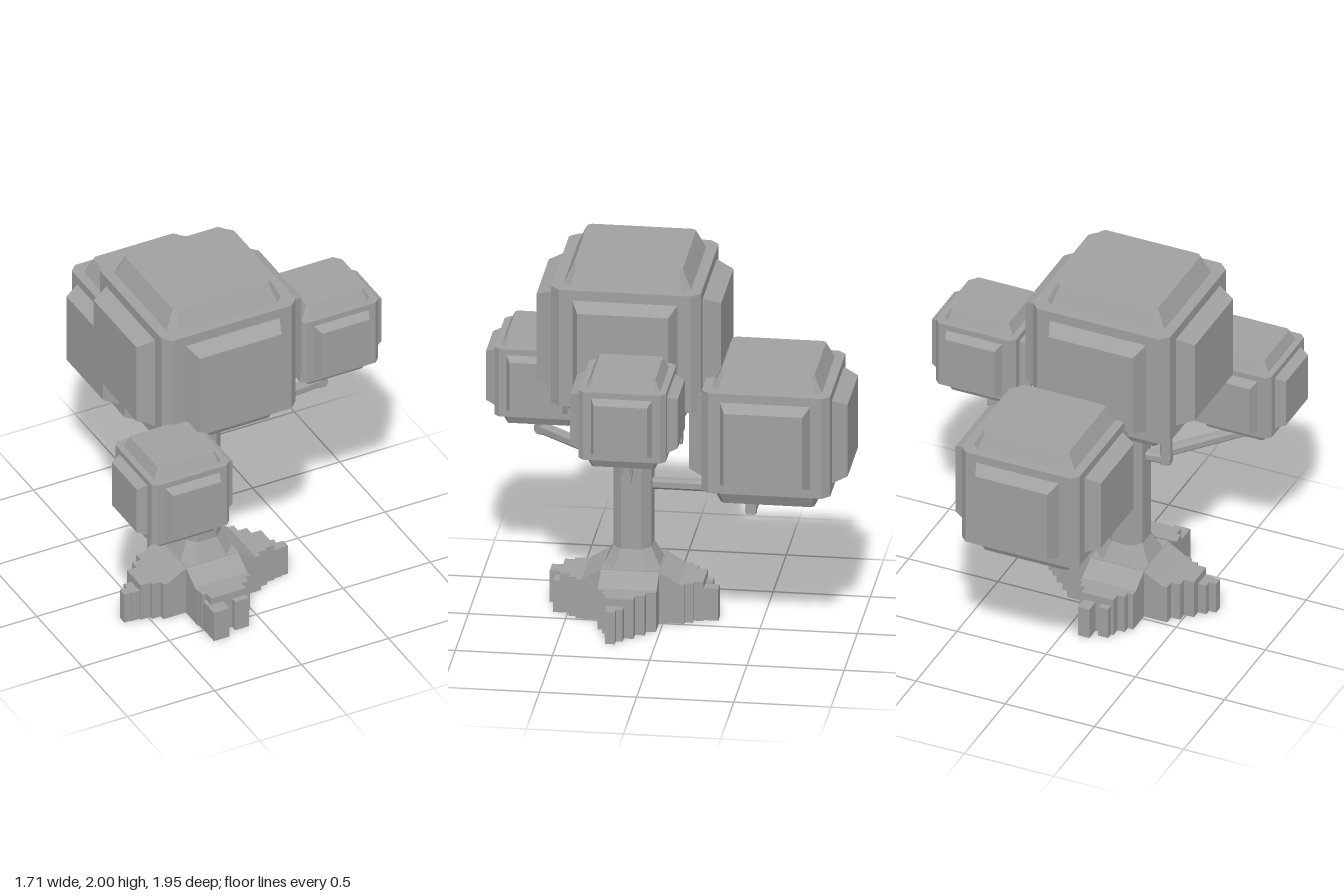
import * as THREE from 'three';

const grey = new THREE.MeshStandardMaterial({ color: 0xa0a0a0, flatShading: true });

// Corners of a rectangle with cut corners
function outline(hx, hz, c) {
  if (!c) return [[hx, -hz], [hx, hz], [-hx, hz], [-hx, -hz]];
  return [[hx, -hz + c], [hx, hz - c], [hx - c, hz], [-hx + c, hz],
    [-hx, hz - c], [-hx, -hz + c], [-hx + c, -hz], [hx - c, -hz]];
}

// Closed solid through rings of [y, halfX, halfZ, cornerCut]
function loft(rings) {
  const loops = rings.map(([y, hx, hz, c]) => outline(hx, hz, c).map(([x, z]) => [x, y, z]));
  const n = loops[0].length, v = [];
  for (let i = 0; i < loops.length - 1; i++) {
    for (let j = 0; j < n; j++) {
      const k = (j + 1) % n;
      const a = loops[i][j], b = loops[i][k], c = loops[i + 1][k], d = loops[i + 1][j];
      v.push(...a, ...d, ...b, ...b, ...d, ...c);
    }
  }
  const lo = loops[0], hi = loops[loops.length - 1];
  for (let j = 1; j < n - 1; j++) {
    v.push(...lo[0], ...lo[j], ...lo[j + 1], ...hi[0], ...hi[j + 1], ...hi[j]);
  }
  const g = new THREE.BufferGeometry();
  g.setAttribute('position', new THREE.Float32BufferAttribute(v, 3));
  g.computeVertexNormals();
  return g;
}

function add(parent, name, geometry, x = 0, y = 0, z = 0) {
  const mesh = new THREE.Mesh(geometry, grey);
  mesh.name = name;
  mesh.position.set(x, y, z);
  parent.add(mesh);
  return mesh;
}

// Leaf block: cut-corner core with a raised panel on each of six faces
function leafBlock(name, x, y, z, scale) {
  const block = new THREE.Group();
  block.name = name;
  add(block, 'core', loft([[-0.32, 0.385, 0.385, 0.045], [0.32, 0.385, 0.385, 0.045]]));
  add(block, 'topAndBottomPanels', loft([
    [-0.42, 0.28, 0.28, 0.02], [-0.32, 0.328, 0.328, 0.04],
    [0.32, 0.328, 0.328, 0.04], [0.42, 0.28, 0.28, 0.02]]));
  for (let k = 0; k < 4; k++) {
    const panel = loft([[0.36, 0.27, 0.265, 0], [0.385, 0.27, 0.265, 0], [0.475, 0.235, 0.23, 0]]);
    add(block, 'sidePanel', panel.rotateX(Math.PI / 2).rotateY(k * Math.PI / 2));
  }
  block.position.set(x, y, z);
  block.scale.setScalar(scale);
  return block;
}

const TX = -0.16, TZ = 0.17; // trunk axis

// Level beam between two [x, z] points, then an upright post into the leaves
function branch(name, [x0, z0], [x, z], bottom, top) {
  const g = new THREE.Group();
  g.name = name;
  const h = 0.028, cut = 0.013;
  const dx = x - x0, dz = z - z0, turn = Math.atan2(dx, dz);
  const beam = loft([[0, h, h, cut], [Math.hypot(dx, dz) + h, h, h, cut]]).rotateX(Math.PI / 2);
  add(g, 'beam', beam, x0, bottom + h, z0).rotation.y = turn;
  add(g, 'post', loft([[bottom, h, h, cut], [top, h, h, cut]]), x, 0, z).rotation.y = turn;
  return g;
}

// Root along its local +z: sloped shoulder, then steps of [end, left, right, height]
function root(angle, side, steps) {
  const g = new THREE.Group();
  g.name = 'root';
  const profile = new THREE.Shape([[0, 0], [0.28, 0], [0.28, 0.215], [0.25, 0.215], [0.145, 0.28], [0, 0.28]]
    .map(([d, y]) => new THREE.Vector2(d, y)));
  const shoulder = new THREE.ExtrudeGeometry(profile, { depth: 0.3, bevelEnabled: false });
  add(g, 'shoulder', shoulder.translate(0, 0, -0.15).rotateY(-Math.PI / 2));
  for (const [end, l, r, h] of steps) {
    const box = new THREE.BoxGeometry(r - l, h, end - 0.2);
    add(g, 'rootStep', box, side * (l + r) / 2, h / 2, (end + 0.2) / 2);
  }
  g.rotation.y = angle;
  g.position.set(TX, 0, TZ);
  return g;
}

const sideSteps = [[0.33, -0.1, 0.12, 0.215], [0.385, -0.05, 0.1, 0.215],
  [0.43, 0, 0.09, 0.175], [0.47, 0.035, 0.085, 0.175]];
const frontSteps = [[0.32, -0.145, 0.12, 0.215], [0.37, -0.12, 0.08, 0.215],
  [0.44, -0.14, -0.05, 0.175], [0.405, 0, 0.08, 0.175]];
const backSteps = [[0.32, -0.12, 0.13, 0.215], [0.37, -0.08, 0.1, 0.215],
  [0.405, -0.066, -0.01, 0.175], [0.445, 0.02, 0.085, 0.175]];

export function createModel() {
  const tree = new THREE.Group();
  tree.name = 'tree';

  // Trunk with flared foot
  add(tree, 'trunk', loft([
    [0, 0.15, 0.15, 0.06], [0.28, 0.145, 0.145, 0.06],
    [0.375, 0.098, 0.098, 0.045], [1.25, 0.098, 0.098, 0.045]]), TX, 0, TZ);

  // Roots
  tree.add(
    root(0, 1, frontSteps),
    root(Math.PI, -1, backSteps),
    root(Math.PI / 2, -1, sideSteps),
    root(-Math.PI / 2, 1, sideSteps),
  );

  // Branches
  tree.add(
    branch('frontBranch', [-0.19, 0.24], [-0.575, 0.70], 0.78, 0.95),
    branch('leftBranch', [TX, 0.18], [0.572, 0.11], 1.003, 1.22),
    branch('backBranch', [TX, TZ], [TX, -0.568], 0.68, 0.85),
    branch('backSideBranch', [TX, -0.47], [0.107, -0.47], 0.68, 0.85),
    branch('upperBackBranch', [TX, TZ], [TX, -0.053], 0.935, 1.25),
    branch('rightBranch', [TX, TZ], [-0.357, 0.19], 0.855, 1.25),
  );

  // Foliage
  tree.add(
    leafBlock('mainFoliage', -0.162, 1.58, 0.165, 1),
    leafBlock('backFoliage', -0.022, 1.133, -0.567, 0.858),
    leafBlock('leftFoliage', 0.578, 1.397, 0.104, 0.582),
    leafBlock('rightFoliage', -0.584, 1.132, 0.695, 0.58),
  );
  return tree;
}
